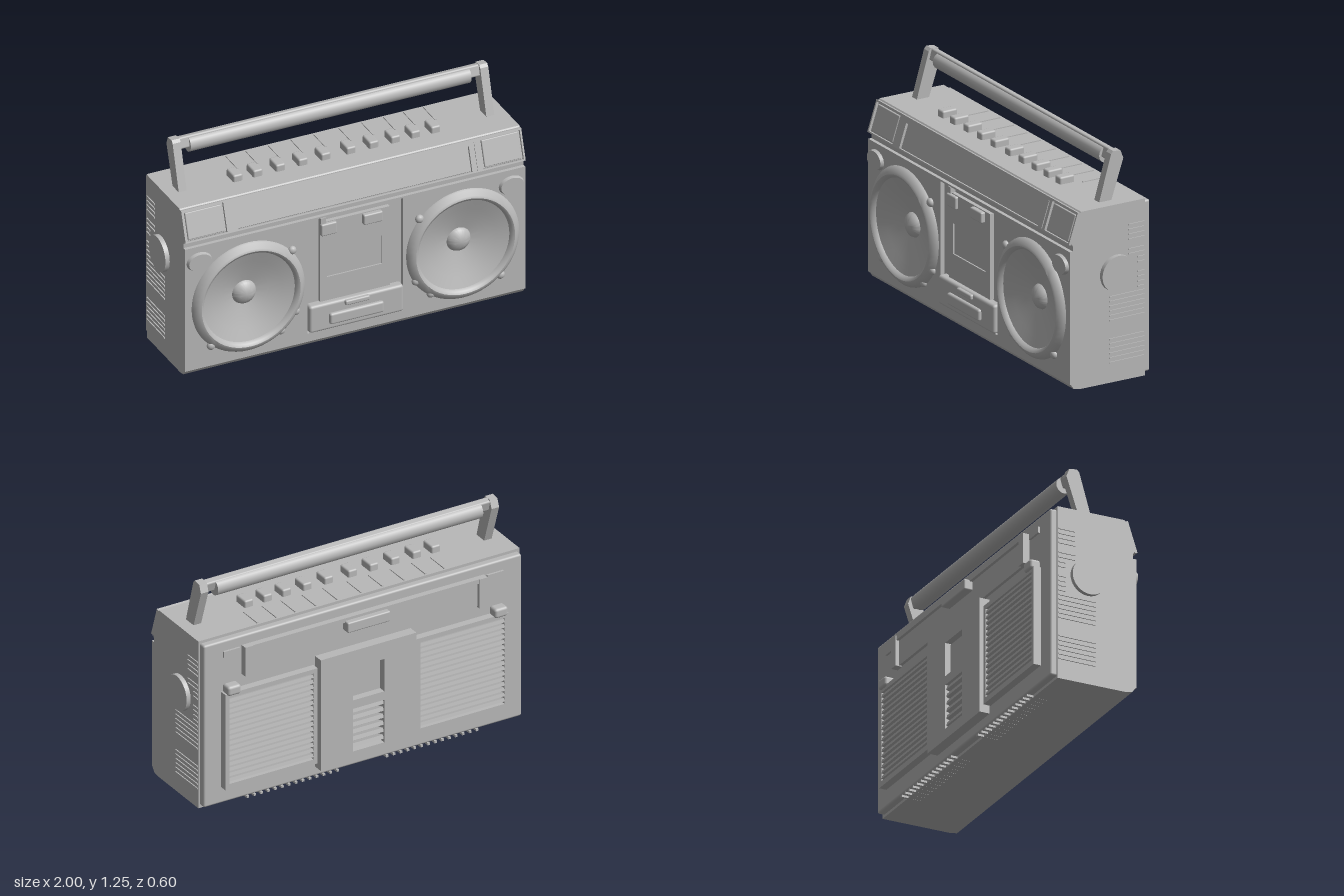
import * as THREE from 'three';
import { RoundedBoxGeometry } from 'three/addons/geometries/RoundedBoxGeometry.js';
import { toCreasedNormals } from 'three/addons/utils/BufferGeometryUtils.js';

export function createModel() {
  const root = new THREE.Group();
  root.name = 'portableStereo';
  const grey = new THREE.MeshStandardMaterial({ color: 0xb8b8b8 });
  grey.name = 'grey plastic';

  const add = (name, geo, parent = root) => {
    const m = new THREE.Mesh(geo, grey);
    m.name = name;
    parent.add(m);
    return m;
  };
  // Box given by its limits on each axis, optionally with rounded edges
  const box = (name, x0, x1, y0, y1, z0, z1, r = 0, parent = root) => {
    const s = [x1 - x0, y1 - y0, z1 - z0];
    const m = add(name, r ? new RoundedBoxGeometry(...s, 2, r) : new THREE.BoxGeometry(...s), parent);
    m.position.set((x0 + x1) / 2, (y0 + y1) / 2, (z0 + z1) / 2);
    return m;
  };
  const rectPath = (x0, x1, y0, y1, Type = THREE.Path) =>
    new Type([[x0, y0], [x1, y0], [x1, y1], [x0, y1]].map(p => new THREE.Vector2(...p)));
  const plate = (shape, depth) => new THREE.ExtrudeGeometry(shape, { depth, bevelEnabled: false, curveSegments: 24 });

  // Case: a side profile of [z, y] points swept across the width
  const profile = [[-0.2, 0], [0.2, 0.005], [0.235, 0.012], [0.258, 0.045], [0.15, 0.045], [0.15, 0.755],
    [0.24, 0.755], [0.24, 0.8], [0.25, 0.82], [0.198, 0.975], [0.19, 0.985], [-0.2, 0.98]];
  const caseGeo = new THREE.ExtrudeGeometry(new THREE.Shape(profile.map(p => new THREE.Vector2(...p))),
    { depth: 1.95, bevelEnabled: false });
  caseGeo.translate(0, 0, -0.975).rotateY(-Math.PI / 2);
  add('case', caseGeo);

  // Front panel with openings for the speakers and the cassette bay
  const front = rectPath(-0.975, 0.975, 0.04, 0.775, THREE.Shape);
  for (const s of [-1, 1]) front.holes.push(new THREE.Path().absarc(s * 0.615, 0.405, 0.295, 0, Math.PI * 2, true));
  front.holes.push(rectPath(-0.275, 0.275, 0.09, 0.765));
  add('frontPanel', plate(front, 0.11)).position.z = 0.15;

  // Sloping tuner fascia
  const slope = new THREE.Group();
  slope.name = 'tunerFascia';
  slope.position.set(0, 0.895, 0.223);
  slope.rotation.x = -0.32;
  root.add(slope);
  const fascia = rectPath(-0.975, 0.975, -0.09, 0.088, THREE.Shape);
  fascia.holes.push(rectPath(-0.67, 0.67, -0.082, 0.055));
  for (const s of [-1, 1]) fascia.holes.push(rectPath(s * 0.85 - 0.115, s * 0.85 + 0.115, -0.082, 0.078));
  add('fasciaFrame', plate(fascia, 0.016), slope);
  for (const s of [-1, 1])
    box('cornerPanel', s * 0.85 - 0.105, s * 0.85 + 0.105, -0.075, 0.07, -0.005, 0.012, 0.005, slope);
  box('tunerDivider', 0.7, 0.712, -0.082, 0.07, 0.01, 0.02, 0, slope);

  // Speakers: rim, cone and dome in one turned profile, with tweeters and screws
  const turned = [[0.325, 0.255], [0.32, 0.272], [0.296, 0.295], [0.283, 0.299], [0.27, 0.292], [0.262, 0.274],
    [0.2, 0.252], [0.13, 0.228], [0.068, 0.212], [0.06, 0.228], [0.035, 0.244], [0, 0.25]];
  const speakerGeo = toCreasedNormals(
    new THREE.LatheGeometry(turned.map(p => new THREE.Vector2(...p)), 56).rotateX(Math.PI / 2), 0.7);
  const screws = [[0.345, 0.25], [0.43, 0.155], [0.83, 0.165], [0.365, 0.62]];
  for (const s of [-1, 1]) {
    add('speaker', speakerGeo).position.set(s * 0.615, 0.405, 0);
    const tweeter = add('tweeter', new THREE.CylinderGeometry(0.9, 1, 1, 28).rotateX(Math.PI / 2));
    tweeter.scale.set(0.073, 0.055, 0.02);
    tweeter.position.set(s * 0.895, 0.685, 0.268);
    for (const [x, y] of screws) {
      const screw = add('screw', new THREE.SphereGeometry(0.024, 12, 8));
      screw.scale.z = 0.8;
      screw.position.set(s * x, y, 0.266);
    }
  }

  // Cassette bay with its door, buttons and control block
  box('bayFloor', -0.275, 0.275, 0.09, 0.765, 0.14, 0.235);
  const door = rectPath(-0.2, 0.2, 0.26, 0.735, THREE.Shape);
  door.holes.push(rectPath(-0.16, 0.155, 0.4, 0.57));
  add('cassetteDoor', plate(door, 0.024)).position.z = 0.233;
  box('doorWindow', -0.16, 0.155, 0.4, 0.57, 0.23, 0.249);
  box('bayButton', 0.04, 0.15, 0.67, 0.73, 0.24, 0.282, 0.008);
  box('bayLatch', -0.2, -0.11, 0.66, 0.73, 0.24, 0.275, 0.008);
  box('bayLatchTop', -0.2, -0.17, 0.73, 0.765, 0.23, 0.265);
  box('controlBlock', -0.27, 0.27, 0.095, 0.255, 0.2, 0.28, 0.015);
  box('controlBar', -0.16, 0.15, 0.13, 0.195, 0.26, 0.298, 0.012);
  box('controlTab', -0.07, 0.07, 0.222, 0.25, 0.26, 0.295, 0.008);

  // Top keys and the fine ridges behind them
  for (const x of [-0.58, -0.465, -0.335, -0.205, -0.075, 0.07, 0.2, 0.325, 0.44, 0.555]) {
    box('topKey', x - 0.027, x + 0.027, 0.965, 1.022, -0.02, 0.07, 0.01);
    box('topRidge', x + 0.05, x + 0.058, 0.975, 0.986, -0.19, -0.05);
  }

  // Carrying handle: leaning arms, crossbar and round grip
  const armShape = new THREE.Shape([[0.04, 0.97], [-0.035, 0.97], [-0.112, 1.2], [-0.095, 1.245], [-0.05, 1.25], [-0.037, 1.235]]
    .map(p => new THREE.Vector2(...p)).reverse());
  for (const s of [-1, 1]) {
    const arm = add('handleArm', plate(armShape, 0.046).translate(0, 0, -0.023).rotateY(-Math.PI / 2));
    arm.position.x = s * 0.882;
  }
  const crossbar = box('handleCrossbar', -0.9, 0.9, 1.18, 1.245, -0.09, -0.048, 0.01);
  crossbar.rotation.x = -0.28;
  const grip = add('handleGrip', new THREE.CylinderGeometry(0.046, 0.046, 1.61, 16).rotateZ(Math.PI / 2));
  grip.position.set(0, 1.195, -0.073);

  // Side knobs and vent ribs
  for (const s of [-1, 1]) {
    const knob = add('sideKnob', new THREE.CylinderGeometry(0.1, 0.1, 0.05, 36).rotateZ(Math.PI / 2));
    knob.position.set(s * 0.975, 0.605, -0.025);
    const rib = (y, z1) => box('sideRib', s * 0.975 - 0.006, s * 0.975 + 0.006, y, y + 0.008, -0.195, z1);
    for (let i = 0; i < 15; i++) if (i < 6 || i > 8) rib(0.11 + i * 0.026, 0.02);
    for (let i = 0; i < 15; i++) if (i % 5 < 4) rib(0.5 + i * 0.027, i < 7 ? -0.155 : -0.1);
  }

  // Back shell
  box('backShell', -0.965, 0.965, 0.015, 0.965, -0.238, -0.19, 0.012);

  // Upper back tray with rim, end posts and latch
  box('trayTop', -0.73, 0.73, 0.885, 0.91, -0.272, -0.23);
  box('trayBase', -0.73, 0.73, 0.745, 0.885, -0.255, -0.23);
  box('trayLatch', -0.13, 0.13, 0.835, 0.895, -0.303, -0.23, 0.008);
  for (const s of [-1, 1]) {
    box('trayPost', s * 0.71 - 0.025, s * 0.71 + 0.025, 0.74, 0.91, -0.276, -0.23);
    box('trayEar', s * 0.8 - 0.05, s * 0.8 + 0.05, 0.87, 0.905, -0.25, -0.23);
    box('backCatch', s * 0.81 - 0.04, s * 0.81 + 0.04, 0.66, 0.715, -0.295, -0.23, 0.015);
  }

  // Louvred rear vents
  for (const s of [-1, 1]) {
    const frame = rectPath(s * 0.58 - 0.28, s * 0.58 + 0.28, 0.11, 0.67, THREE.Shape);
    frame.holes.push(rectPath(s * 0.58 - 0.255, s * 0.58 + 0.255, 0.14, 0.645));
    add('ventFrame', plate(frame, 0.05)).position.z = -0.28;
    for (let i = 0; i < 16; i++) {
      const slat = box('ventSlat', s * 0.58 - 0.255, s * 0.58 + 0.255, 0.148 + i * 0.031, 0.166 + i * 0.031, -0.278, -0.232);
      slat.rotation.x = 0.25;
    }
  }

  // Raised centre panel with a recess and a small grille
  const centre = rectPath(-0.29, 0.29, 0.07, 0.72, THREE.Shape);
  centre.holes.push(rectPath(-0.095, 0.095, 0.43, 0.62), rectPath(-0.095, 0.095, 0.13, 0.38));
  add('backCentrePanel', plate(centre, 0.062)).position.z = -0.296;
  box('recessPlate', -0.085, 0.085, 0.44, 0.61, -0.27, -0.23);
  for (let i = 0; i < 6; i++)
    box('grilleSlat', -0.095, 0.095, 0.14 + i * 0.041, 0.162 + i * 0.041, -0.288, -0.23).rotation.x = 0.3;

  // Underside ribs in two groups
  for (const s of [-1, 1]) for (let i = 0; i < 14; i++) {
    const x = s * (0.15 + i * 0.042);
    box('bottomRib', x - 0.007, x + 0.007, 0, 0.012, -0.237, -0.12);
  }
  return root;
}
